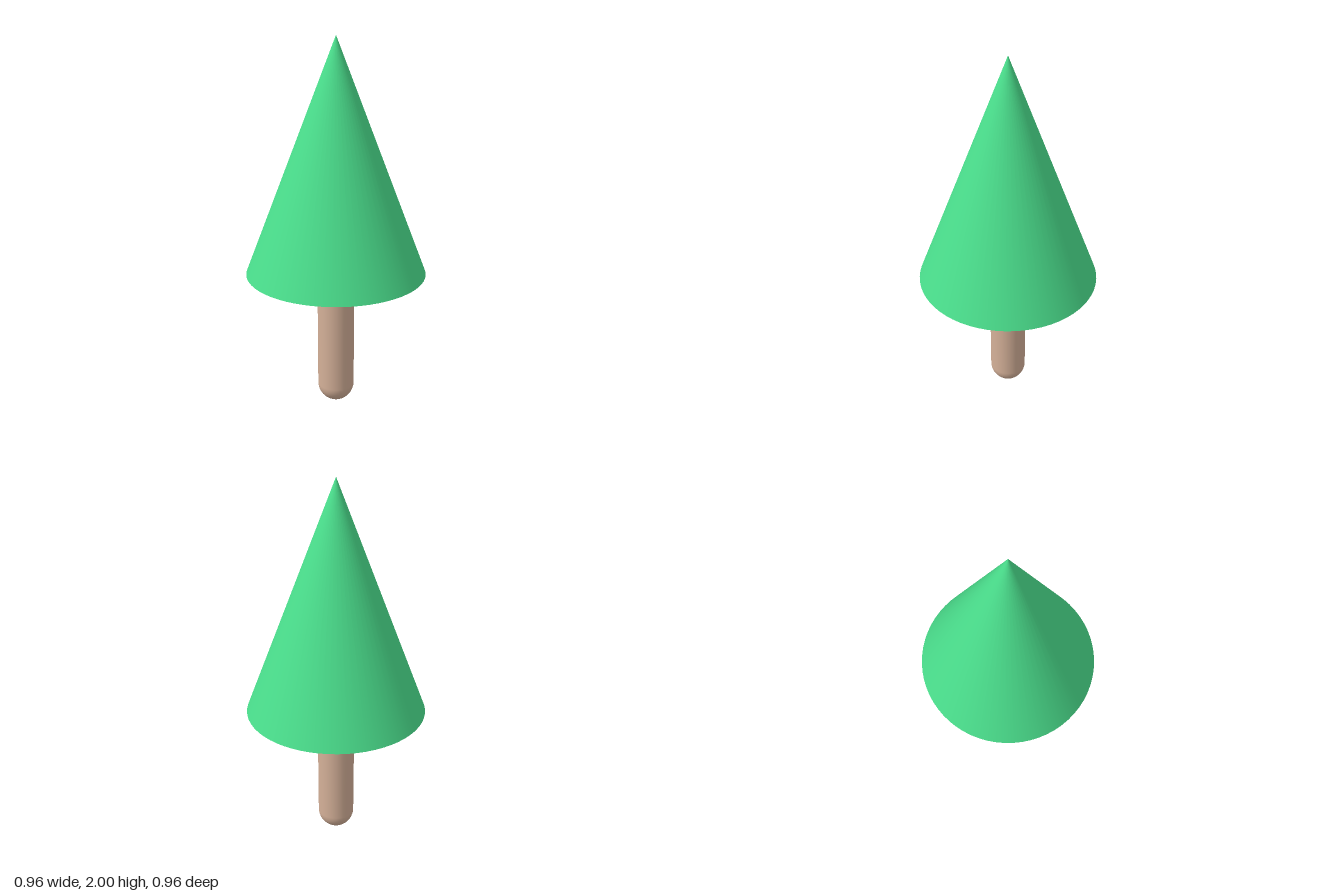
import * as THREE from 'three';

export function createModel() {
  const group = new THREE.Group();
  const add = (name, geometry, color, y) => {
    const mesh = new THREE.Mesh(geometry, new THREE.MeshStandardMaterial({ color }));
    mesh.name = name;
    mesh.position.y = y;
    group.add(mesh);
  };

  // Cone of leaves, closed underneath
  const base = 0.77, height = 2 - base;
  add('foliage', new THREE.ConeGeometry(0.48, height, 64), 0x4ade8c, base + height / 2);

  // Round-ended trunk, its top hidden inside the leaves
  const radius = 0.1, length = 0.76;
  add('trunk', new THREE.CapsuleGeometry(radius, length, 12, 32), 0xd4b098, radius + length / 2);

  return group;
}
